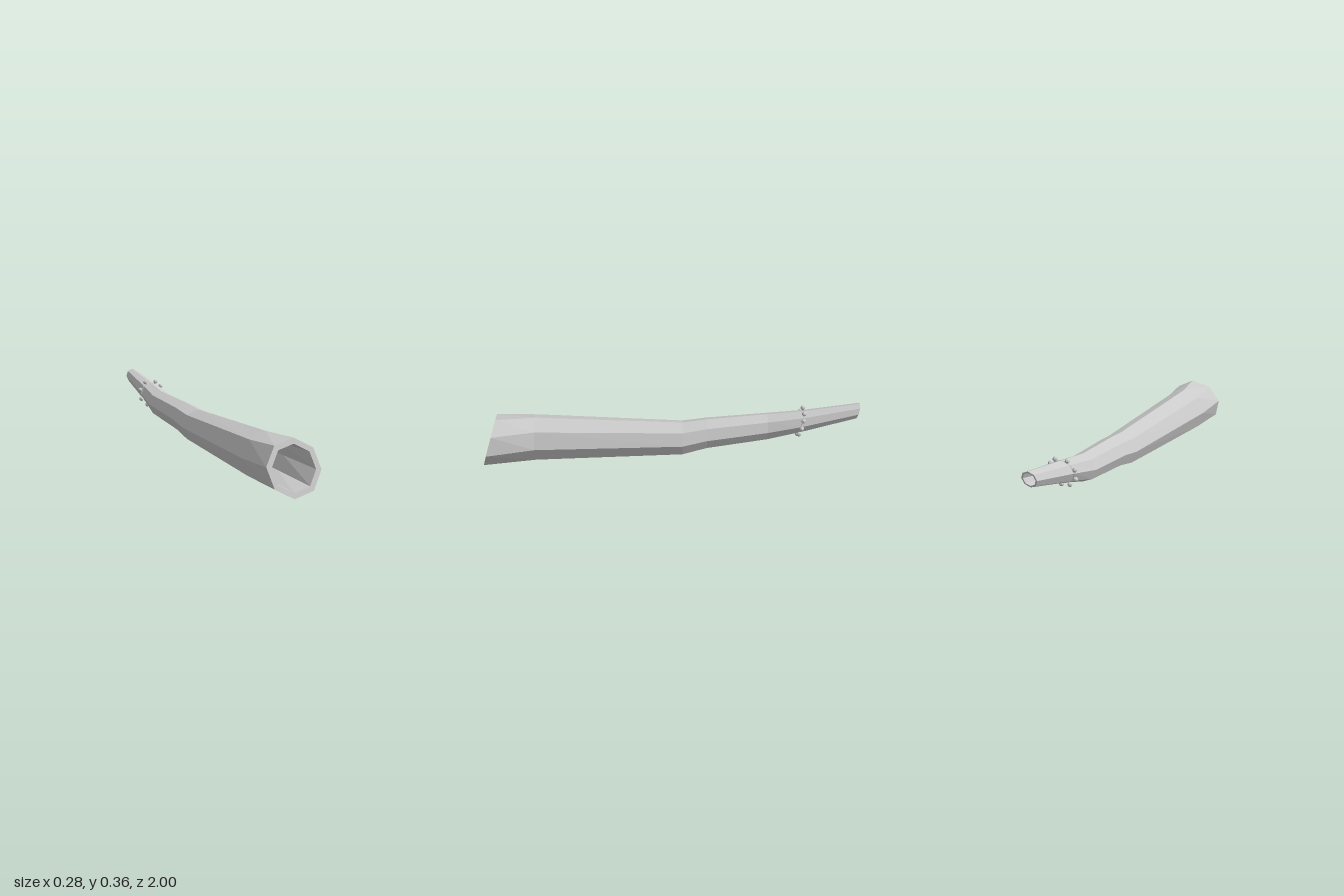
import * as THREE from 'three';

const SIDES = 8;
const material = new THREE.MeshStandardMaterial({ color: 0xcccccc, flatShading: true });

// Cross-sections, bell to mouthpiece: centre x, y, z, radius x, radius y, lean (dz/dy), twist in degrees
const sections = [
  [0, 0.135, 0.957, 0.143, 0.134, -0.3, -7.5],
  [-0.015, 0.143, 0.71, 0.126, 0.123, 0, -2],
  [0.008, 0.155, -0.07, 0.094, 0.092, 0, 0],
  [0, 0.179, -0.2, 0.085, 0.083, 0, 0],
  [-0.015, 0.212, -0.52, 0.072, 0.073, 0, 0],
  [-0.002, 0.25, -0.695, 0.062, 0.061, -0.2, 0],
  [0, 0.316, -0.99, 0.042, 0.042, -0.24, 0],
];

// Corner of a section at the given angle, scaled about the section's centre
function pointOn([cx, cy, cz, rx, ry, lean, twist], degrees, scale = 1) {
  const a = THREE.MathUtils.degToRad(degrees + twist);
  const dy = Math.sin(a) * ry * scale;
  return new THREE.Vector3(cx + Math.cos(a) * rx * scale, cy + dy, cz + lean * dy);
}

// Skin through a closed run of rings: outside, back rim, bore, front rim
function hollowTube() {
  const runs = [
    ...sections.map((s) => [s, 1]),
    ...[...sections].reverse().map((s) => [s, 0.8]),
  ];
  const positions = [];
  const index = [];
  runs.forEach(([s, scale], i) => {
    const next = (i + 1) % runs.length;
    for (let j = 0; j < SIDES; j++) {
      positions.push(...pointOn(s, (j * 360) / SIDES, scale).toArray());
      const k = (j + 1) % SIDES;
      const a = i * SIDES + j, b = i * SIDES + k;
      const c = next * SIDES + j, d = next * SIDES + k;
      index.push(a, c, b, b, c, d);
    }
  });
  const geometry = new THREE.BufferGeometry();
  geometry.setAttribute('position', new THREE.Float32BufferAttribute(positions, 3));
  geometry.setIndex(index);
  geometry.computeVertexNormals();
  return geometry;
}

export function createModel() {
  const group = new THREE.Group();
  group.name = 'woodenHorn';

  // Hollow, slightly bent pipe
  const pipe = new THREE.Mesh(hollowTube(), material);
  pipe.name = 'pipe';
  group.add(pipe);

  // Thin cord hugging the neck
  const neck = sections[5];
  const path = new THREE.CurvePath();
  for (let j = 0; j < SIDES; j++) {
    path.add(new THREE.LineCurve3(pointOn(neck, j * 45), pointOn(neck, (j + 1) * 45)));
  }
  const cord = new THREE.Mesh(new THREE.TubeGeometry(path, 32, 0.003, 4, true), material);
  cord.name = 'cord';
  group.add(cord);

  // Beads strung unevenly around the cord
  const beads = new THREE.Group();
  beads.name = 'beads';
  const beadGeometry = new THREE.SphereGeometry(0.0125, 8, 6);
  for (const angle of [-3, 31, 63, 117, 162, 205, 245, 283, 317]) {
    const bead = new THREE.Mesh(beadGeometry, material);
    bead.name = 'bead';
    bead.position.copy(pointOn(neck, angle, 1.17));
    beads.add(bead);
  }
  group.add(beads);

  return group;
}
